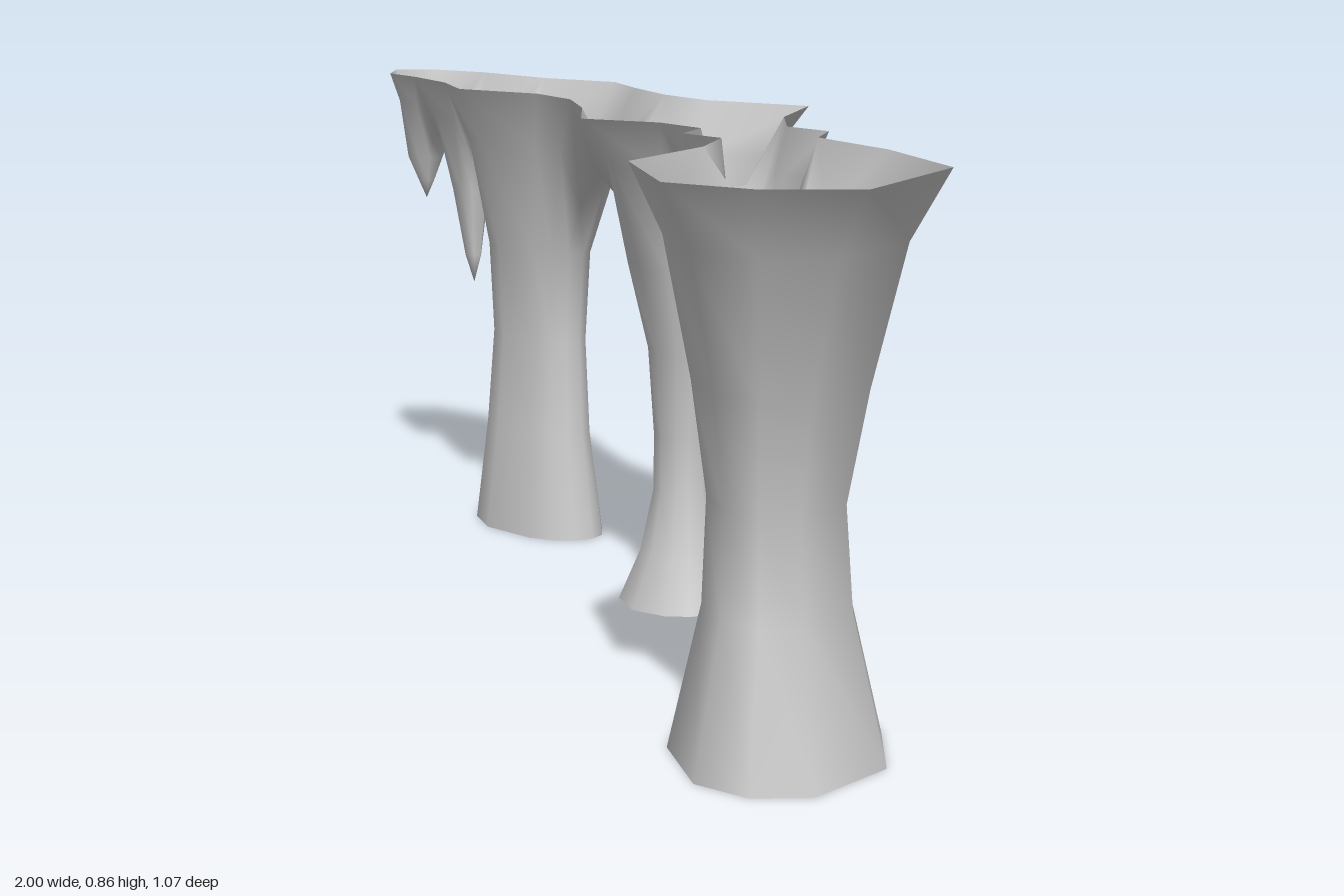
import * as THREE from 'three';

const TOP = 0.86;
const rim = (pts) => pts.map(([x, z]) => ({ x, y: TOP, z }));

// Raised trough between two hanging parts: back rim, two floor points, front rim
function saddle(back, front, yBack, yFront, dx = 0) {
  const floor = (t, y) => ({
    x: back[0] + (front[0] - back[0]) * t + dx, y,
    z: back[1] + (front[1] - back[1]) * t, floor: true,
  });
  return [...rim([back]), floor(0.3, yBack), floor(0.7, yFront), ...rim([front])];
}

// Loft from an irregular top loop down through oval rings [y, xMin, xMax, zMin, zMax];
// a tip [x, y, z] closes the end of a stalactite
function loft(loop, rings, skew = 0, tip = null) {
  const n = loop.length;
  const [, x0, x1, z0, z1] = rings[0];
  const cx = (x0 + x1) / 2, cz = (z0 + z1) / 2;

  // Angles halfway between those of the loop and an even spacing
  const raw = [];
  loop.forEach((p, i) => {
    const a = Math.atan2(p.z - cz, p.x - cx);
    if (i === 0) return raw.push(a);
    let d = a - raw[i - 1];
    d -= Math.PI * 2 * Math.round(d / (Math.PI * 2));
    return raw.push(raw[i - 1] + d);
  });
  const step = (Math.PI * 2) / n;
  const phase = raw.reduce((s, a, i) => s + a - i * step, 0) / n;
  const angles = raw.map((a, i) => (a + phase + i * step) / 2);

  const ovals = rings.map(([y, a0, a1, b0, b1]) => angles.map((a) => ({
    x: (a0 + a1) / 2 + ((a1 - a0) / 2) * 1.03 * Math.cos(a),
    y,
    z: (b0 + b1) / 2 + ((b1 - b0) / 2) * 1.03 * Math.sin(a + skew),
  })));

  // Flared ring between the top loop and the first oval
  const flare = loop.map((p, i) => {
    const q = ovals[0][i], h = p.floor ? 0.62 : 0.54, v = p.floor ? 0.42 : 0.33;
    return { x: p.x + (q.x - p.x) * h, y: p.y + (q.y - p.y) * v, z: p.z + (q.z - p.z) * h };
  });

  const rows = [loop, flare, ...ovals];
  if (tip) rows.push(loop.map(() => ({ x: tip[0], y: tip[1], z: tip[2] })));
  const index = [];
  for (let r = 0; r < rows.length - 1; r++) {
    for (let i = 0; i < n; i++) {
      const a = r * n + i, b = r * n + (i + 1) % n;
      index.push(a, b, a + n);
      if (!tip || r < rows.length - 2) index.push(b, b + n, a + n);
    }
  }
  const geo = new THREE.BufferGeometry();
  geo.setAttribute('position', new THREE.Float32BufferAttribute(
    rows.flatMap((row) => row.flatMap((p) => [p.x, p.y, p.z])), 3));
  geo.setIndex(index);
  return geo;
}

// Smooth normals shared across neighbouring parts, so no seam shows
function shareNormals(geos) {
  const sums = new Map();
  const key = (p, i) => [p.getX(i), p.getY(i), p.getZ(i)].map((v) => v.toFixed(4)).join();
  const [a, b, c] = [0, 1, 2].map(() => new THREE.Vector3());
  for (const g of geos) {
    const p = g.attributes.position, idx = g.index.array;
    for (let f = 0; f < idx.length; f += 3) {
      [a, b, c].forEach((v, k) => v.fromBufferAttribute(p, idx[f + k]));
      const nrm = b.clone().sub(a).cross(c.clone().sub(a));
      for (let k = 0; k < 3; k++) {
        const id = key(p, idx[f + k]);
        if (!sums.has(id)) sums.set(id, new THREE.Vector3());
        sums.get(id).add(nrm);
      }
    }
  }
  for (const g of geos) {
    const p = g.attributes.position, out = [];
    for (let i = 0; i < p.count; i++) {
      const s = sums.get(key(p, i)) || new THREE.Vector3(0, 1, 0);
      out.push(...s.clone().normalize().toArray());
    }
    g.setAttribute('normal', new THREE.Float32BufferAttribute(out, 3));
  }
}

export function createModel() {
  const group = new THREE.Group();
  group.name = 'dripstoneColumns';

  // Troughs, from the -x end to the +x end
  const s1 = saddle([-0.82, -0.505], [-0.83, -0.33], 0.76, 0.75);
  const s2 = saddle([-0.63, -0.5], [-0.68, -0.285], 0.75, 0.74, -0.012);
  const s3 = saddle([-0.2, -0.41], [-0.24, -0.215], 0.77, 0.72);
  const s4 = saddle([0.245, -0.255], [0.175, -0.035], 0.75, 0.74);
  const s5 = saddle([0.51, -0.05], [0.485, 0.175], 0.74, 0.745, 0.035);

  // Top loop of one part: left trough, back rim, right trough, front rim
  const cell = (left, back, right, front) =>
    [...[...left].reverse(), ...rim(back), ...right, ...rim(front)];

  const parts = {
    endStalactite: loft(
      [...rim([[-0.925, -0.345], [-1, -0.42], [-0.94, -0.48]]), ...s1],
      [[0.69, -0.942, -0.872, -0.455, -0.385], [0.64, -0.92, -0.89, -0.435, -0.405]],
      0, [-0.905, 0.605, -0.42]),
    longStalactite: loft(
      cell(s1, [], s2, []),
      [[0.64, -0.762, -0.695, -0.425, -0.355], [0.51, -0.738, -0.707, -0.405, -0.375]],
      0, [-0.72, 0.455, -0.39]),
    rightColumn: loft(
      cell(s2, [[-0.465, -0.535], [-0.34, -0.47]], s3,
        [[-0.37, -0.25], [-0.545, -0.21]]),
      [[0.55, -0.625, -0.385, -0.445, -0.305], [0.38, -0.615, -0.395, -0.437, -0.312],
        [0.2, -0.63, -0.385, -0.445, -0.302], [0, -0.655, -0.355, -0.465, -0.28]]),
    middleColumn: loft(
      cell(s3, [[-0.065, -0.385], [0.135, -0.435]], s4,
        [[0.04, 0.015], [-0.105, -0.12]]),
      [[0.6, -0.025, 0.155, -0.29, -0.105], [0.45, 0.003, 0.13, -0.26, -0.145],
        [0.3, 0.015, 0.118, -0.247, -0.155], [0.2, 0.015, 0.118, -0.247, -0.155],
        [0.09, -0.005, 0.14, -0.265, -0.132], [0, -0.04, 0.17, -0.3, -0.095]]),
    middleStalactite: loft(
      cell(s4, [[0.36, -0.14], [0.455, -0.135]], s5,
        [[0.415, 0.065], [0.325, 0.06], [0.285, -0.02]]),
      [[0.63, 0.335, 0.447, -0.095, 0.025], [0.45, 0.366, 0.418, -0.062, 0.0],
        [0.34, 0.38, 0.403, -0.045, -0.018]],
      0, [0.39, 0.3, -0.033]),
    leftColumn: loft(
      cell(s5, [[0.695, 0], [0.91, 0.11], [1, 0.385], [0.9, 0.495], [0.76, 0.53]],
        rim([]), [[0.55, 0.39]]),
      [[0.55, 0.585, 0.865, 0.1, 0.4], [0.38, 0.61, 0.83, 0.13, 0.37],
        [0.22, 0.605, 0.845, 0.12, 0.38], [0, 0.555, 0.905, 0.06, 0.44]], 0.22),
  };
  shareNormals(Object.values(parts));

  // Open shells, seen from inside and outside
  const material = new THREE.MeshStandardMaterial({ color: 0xcccccc, side: THREE.DoubleSide });
  for (const [name, geo] of Object.entries(parts)) {
    const mesh = new THREE.Mesh(geo, material);
    mesh.name = name;
    group.add(mesh);
  }
  return group;
}
